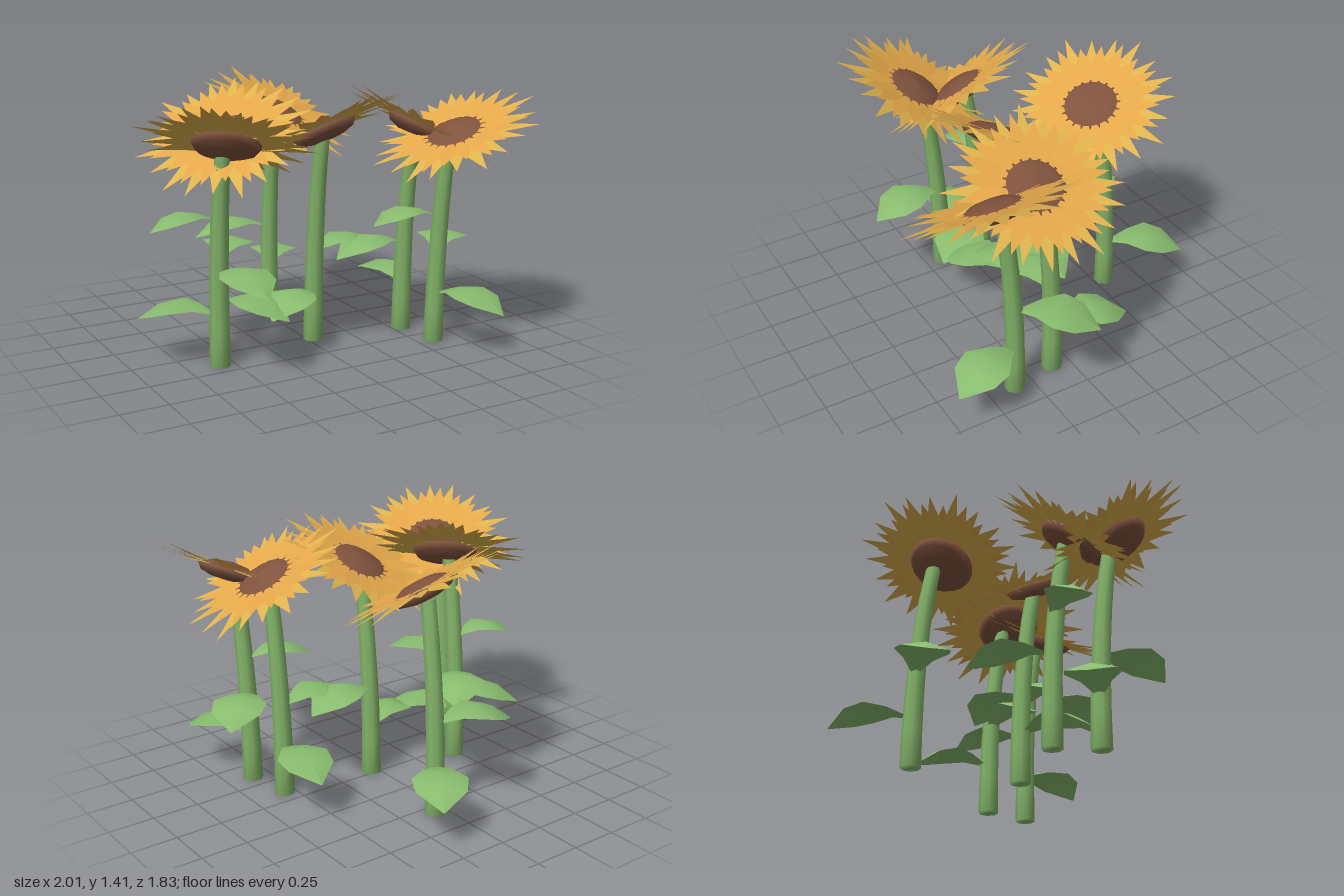
import * as THREE from 'three';

const material = (name, color, side = THREE.FrontSide) => {
  const m = new THREE.MeshStandardMaterial({ color, side });
  m.name = name;
  return m;
};

function geometryFrom(points, index) {
  const g = new THREE.BufferGeometry();
  g.setAttribute('position', new THREE.Float32BufferAttribute(points, 3));
  if (index) g.setIndex(index);
  g.computeVertexNormals();
  return g;
}

// Tapered stem leaning forward near the top, closed at the foot
function stemGeometry(dx) {
  const sides = 8, rings = 6, height = 1.13, points = [], index = [];
  for (let k = 0; k <= rings; k++) {
    const t = k / rings, r = 0.054 - 0.015 * t;
    for (let i = 0; i < sides; i++) {
      const a = (i + 0.5) / sides * Math.PI * 2;
      points.push(dx * t + r * Math.cos(a), height * t, 0.085 * t ** 2.4 + r * Math.sin(a));
    }
  }
  for (let k = 0; k < rings; k++) for (let i = 0; i < sides; i++) {
    const a = k * sides + i, b = k * sides + (i + 1) % sides, c = a + sides, d = b + sides;
    index.push(a, c, b, b, c, d);
  }
  const centre = points.length / 3;
  points.push(0, 0, 0);
  for (let i = 0; i < sides; i++) index.push(centre, i, (i + 1) % sides);
  return geometryFrom(points, index);
}

// Arched leaf along +x with a ridge down the middle
function leafGeometry() {
  // distance, height, half width, droop of the edges
  const sections = [[0.02, 0, 0.015, 0], [0.12, 0.045, 0.075, 0.012], [0.22, 0.065, 0.14, 0.03],
    [0.32, 0.04, 0.125, 0.03], [0.43, -0.045, 0.004, 0]];
  const points = [], index = [];
  for (const [x, y, w, droop] of sections) points.push(x, y - droop, -w, x, y, 0, x, y - droop, w);
  for (let k = 0; k < sections.length - 1; k++) for (let i = 0; i < 2; i++) {
    const a = k * 3 + i, b = a + 1, c = a + 3, d = a + 4;
    index.push(a, b, c, b, d, c);
  }
  return geometryFrom(points, index);
}

// Ring of broad, pointed, nearly flat petals
function petalGeometry(count, offset, root, tip, base, rise) {
  const points = [];
  for (let n = 0; n < count; n++) {
    const angle = (n + offset) / count * Math.PI * 2;
    const length = tip * (1 + 0.045 * Math.sin(n * 2.4 + offset * 5));
    const lift = rise + 0.014 * Math.sin(n * 1.9 + offset * 3);
    const at = (r, w, y) => [r * Math.cos(angle) - w * Math.sin(angle), y, r * Math.sin(angle) + w * Math.cos(angle)];
    const pair = (r, w, y) => [at(r, -w, y), at(r, w, y)];
    const [b0, b1] = pair(root, 0.014, base);
    const [s0, s1] = pair(root + 0.035, 0.029, base);
    const [m0, m1] = pair(0.25, 0.043, base + lift * 0.4);
    const end = at(length, 0, base + lift);
    for (const tri of [[b0, b1, s1], [b0, s1, s0], [s0, s1, m1], [s0, m1, m0], [m0, m1, end]])
      for (const p of tri) points.push(...p);
  }
  return geometryFrom(points);
}

export function createModel() {
  const model = new THREE.Group();
  model.name = 'sunflowers';

  const stemGreen = material('stem green', 0x82b268);
  const leafGreen = material('leaf green', 0x88bb6e, THREE.DoubleSide);
  const yellow = material('petal yellow', 0xdfb24e, THREE.DoubleSide);
  const orange = material('petal orange', 0xe4a74a, THREE.DoubleSide);
  const brown = material('seed brown', 0x80533e);

  const leaf = leafGeometry();
  const outerPetals = petalGeometry(20, 0, 0.155, 0.44, 0.008, 0);
  const innerPetals = petalGeometry(20, 0.5, 0.138, 0.375, 0.018, 0.01);
  const disc = new THREE.LatheGeometry(
    [[0, -0.055], [0.09, -0.052], [0.15, -0.034], [0.174, 0], [0.145, 0.012], [0.1, 0.034], [0, 0.046]]
      .map(([x, y]) => new THREE.Vector2(x, y)), 20);

  // foot x, z; head x, y, z; facing x, z; leaves as [height, direction x, direction z, size]
  const plants = [
    { foot: [0.07, -0.56], head: [0.065, 1.17, -0.43], face: [0.3, 0.46], leaves: [[0.27, 0.24, -0.36], [0.5, -0.41, -0.09]] },
    { foot: [-0.48, -0.065], head: [-0.485, 1.16, 0.055], face: [-0.45, 0.46],
      leaves: [[0.27, 0.22, 0.36], [0.5, 0.27, -0.33], [0.71, -0.36, -0.03, 0.84]] },
    { foot: [-0.575, 0.15], head: [-0.58, 1.165, 0.275], face: [0.36, -0.47], leaves: [[0.27, -0.34, -0.27], [0.5, 0.06, 0.4]] },
    { foot: [0.035, 0.03], head: [0.04, 1.165, 0.135], face: [-0.25, -0.47], leaves: [[0.27, -0.32, 0.2], [0.5, 0.41, -0.06]] },
    { foot: [0.555, 0.1], head: [0.56, 1.15, 0.22], face: [0.57, 0.08], leaves: [[0.27, 0.05, -0.42], [0.5, -0.37, 0.02]] },
    { foot: [0.6, 0.35], head: [0.615, 1.145, 0.475], face: [-0.46, 0.08],
      leaves: [[0.27, 0.16, 0.41], [0.5, 0.28, -0.29], [0.7, -0.36, -0.05, 0.84]] },
  ];

  for (const { foot, head, face, leaves } of plants) {
    const plant = new THREE.Group();
    plant.name = 'plant';
    plant.position.set(foot[0], 0, foot[1]);
    const add = (parent, name, geometry, mat) => {
      const mesh = new THREE.Mesh(geometry, mat);
      mesh.name = name;
      parent.add(mesh);
      return mesh;
    };

    add(plant, 'stem', stemGeometry(head[0] - foot[0]), stemGreen);
    for (const [y, dx, dz, size = 1] of leaves) {
      const mesh = add(plant, 'leaf', leaf, leafGreen);
      mesh.position.y = y;
      mesh.rotation.y = Math.atan2(-dz, dx);
      mesh.scale.setScalar(size);
    }

    // Flower head tilted to its facing direction
    const flower = new THREE.Group();
    flower.name = 'flowerHead';
    flower.position.set(head[0] - foot[0], head[1], head[2] - foot[1]);
    flower.quaternion.setFromUnitVectors(new THREE.Vector3(0, 1, 0), new THREE.Vector3(face[0], 1, face[1]).normalize());
    add(flower, 'seedDisc', disc, brown);
    add(flower, 'outerPetals', outerPetals, yellow);
    add(flower, 'innerPetals', innerPetals, orange);
    plant.add(flower);
    model.add(plant);
  }
  return model;
}
